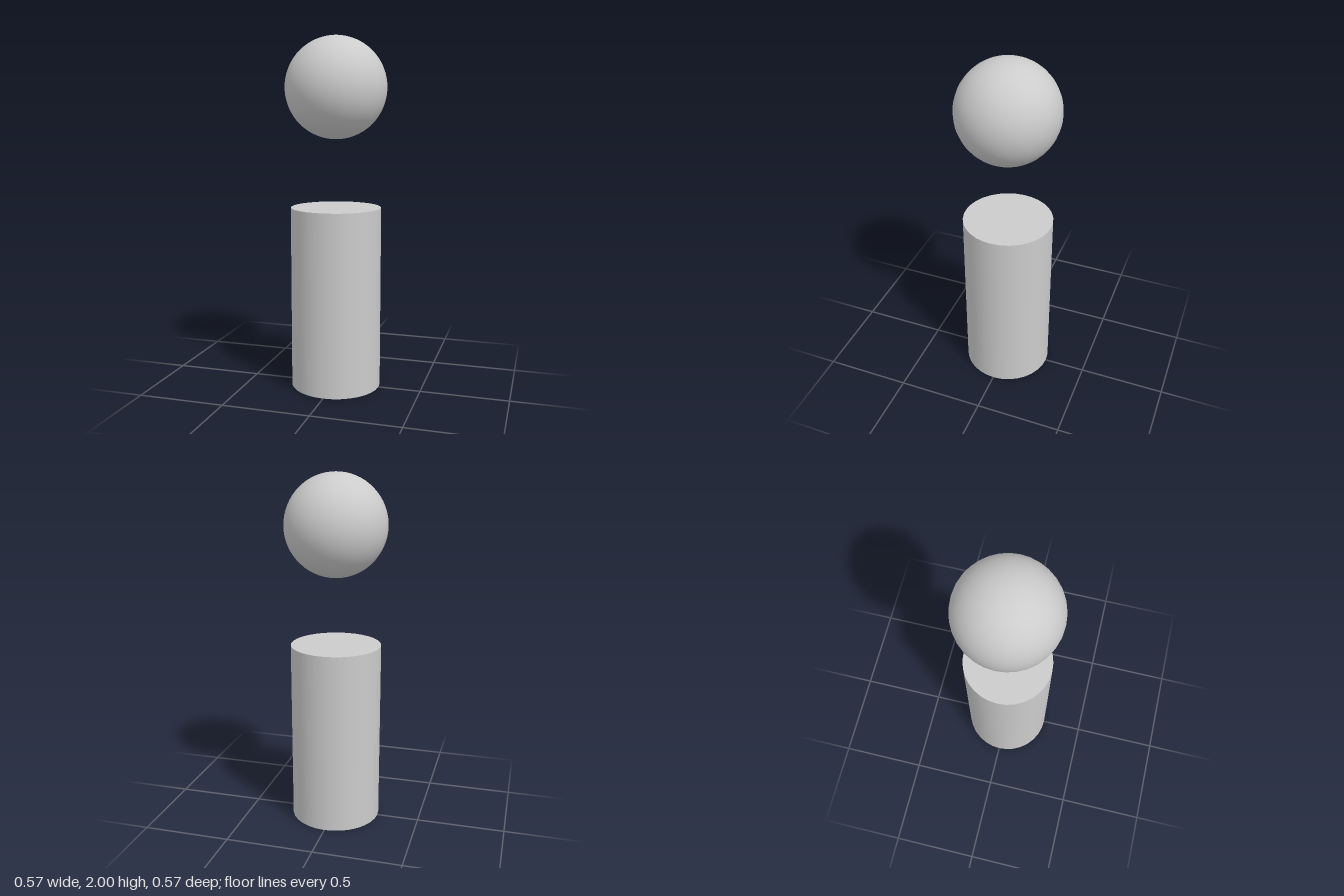
import * as THREE from 'three';

export function createModel() {
  const model = new THREE.Group();
  const grey = new THREE.MeshStandardMaterial({ color: 0xcccccc });

  const addPart = (name, geometry, y) => {
    const mesh = new THREE.Mesh(geometry, grey);
    mesh.name = name;
    mesh.position.y = y;
    model.add(mesh);
  };

  // Upright capped column standing on the ground
  const bodyHeight = 1.043;
  addPart('body', new THREE.CylinderGeometry(0.257, 0.257, bodyHeight, 32), bodyHeight / 2);

  // Ball floating above the column
  const headRadius = 0.2857;
  addPart('head', new THREE.SphereGeometry(headRadius, 32, 32), 2 - headRadius);

  return model;
}
